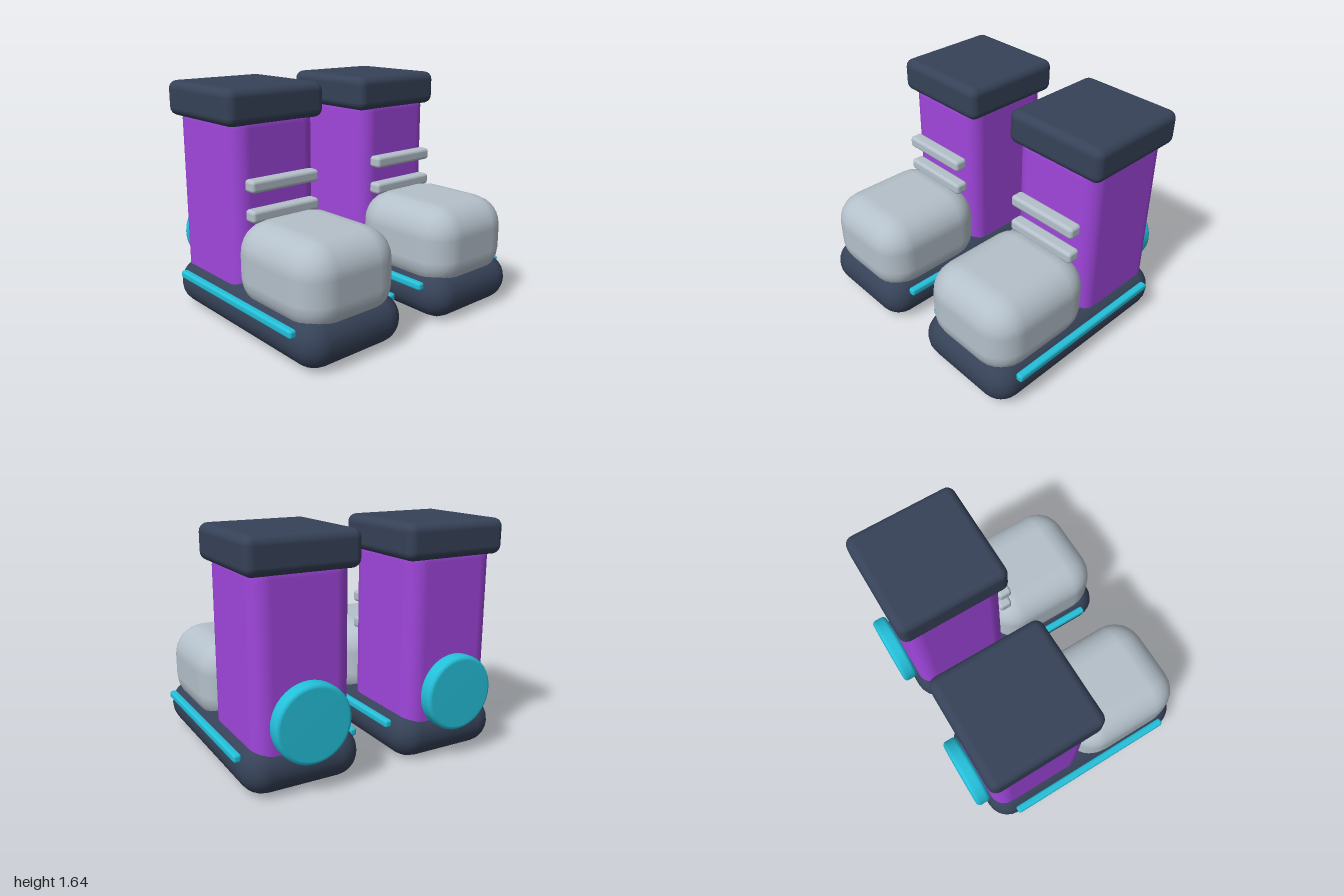
import * as THREE from 'three';
import { RoundedBoxGeometry } from 'three/addons/geometries/RoundedBoxGeometry.js';

const material = (name, color) => {
  const m = new THREE.MeshStandardMaterial({ color });
  m.name = name;
  return m;
};

export function createModel() {
  const navy = material('navy rubber', 0x364258);
  const purple = material('purple leather', 0xa046dc);
  const grey = material('pale grey', 0xb4c0ca);
  const cyan = material('cyan trim', 0x24c0da);

  // Rounded block given by its extents on each axis
  const block = (parent, name, mat, [x0, x1], [y0, y1], [z0, z1], radius, segments = 3) => {
    const geometry = new RoundedBoxGeometry(x1 - x0, y1 - y0, z1 - z0, segments, radius);
    const mesh = new THREE.Mesh(geometry, mat);
    mesh.name = name;
    mesh.position.set((x0 + x1) / 2, (y0 + y1) / 2, (z0 + z1) / 2);
    parent.add(mesh);
  };

  // Disc with a rounded rim, used on the heel
  const discGeometry = (radius, thickness, bevel) => {
    const h = thickness / 2;
    const points = [new THREE.Vector2(0, -h)];
    for (const [side, start] of [[-1, -Math.PI / 2], [1, 0]]) {
      for (let i = 0; i <= 4; i++) {
        const a = start + (i / 4) * Math.PI / 2;
        points.push(new THREE.Vector2(
          radius - bevel + bevel * Math.cos(a), side * (h - bevel) + bevel * Math.sin(a)));
      }
    }
    points.push(new THREE.Vector2(0, h));
    return new THREE.LatheGeometry(points, 40).rotateX(Math.PI / 2);
  };

  const makeBoot = (name, x) => {
    const boot = new THREE.Group();
    boot.name = name;
    boot.position.x = x;

    block(boot, 'sole', navy, [-0.417, 0.417], [0, 0.34], [-0.77, 0.86], 0.168);
    block(boot, 'toeCap', grey, [-0.39, 0.39], [0.2, 0.8], [-0.04, 0.837], 0.22);
    block(boot, 'shaft', purple, [-0.341, 0.341], [0.1, 1.5], [-0.73, 0.01], 0.12);
    block(boot, 'cuff', navy, [-0.39, 0.39], [1.4, 1.645], [-0.765, 0.04], 0.06);

    // Straps across the front of the shaft
    for (const y of [0.813, 1.015]) {
      block(boot, 'strap', grey, [-0.276, 0.276], [y - 0.043, y + 0.043], [0.008, 0.11], 0.025);
    }

    // Trim strips along both sides of the sole
    for (const side of [-1, 1]) {
      const c = side * 0.415;
      block(boot, 'soleTrim', cyan, [c - 0.027, c + 0.027], [0.23, 0.286], [-0.612, 0.702], 0.018);
    }

    const disc = new THREE.Mesh(discGeometry(0.265, 0.112, 0.03), cyan);
    disc.name = 'heelDisc';
    disc.position.set(0, 0.485, -0.798);
    boot.add(disc);
    return boot;
  };

  const model = new THREE.Group();
  model.name = 'boots';
  model.add(makeBoot('leftBoot', 0.558), makeBoot('rightBoot', -0.558));
  return model;
}
